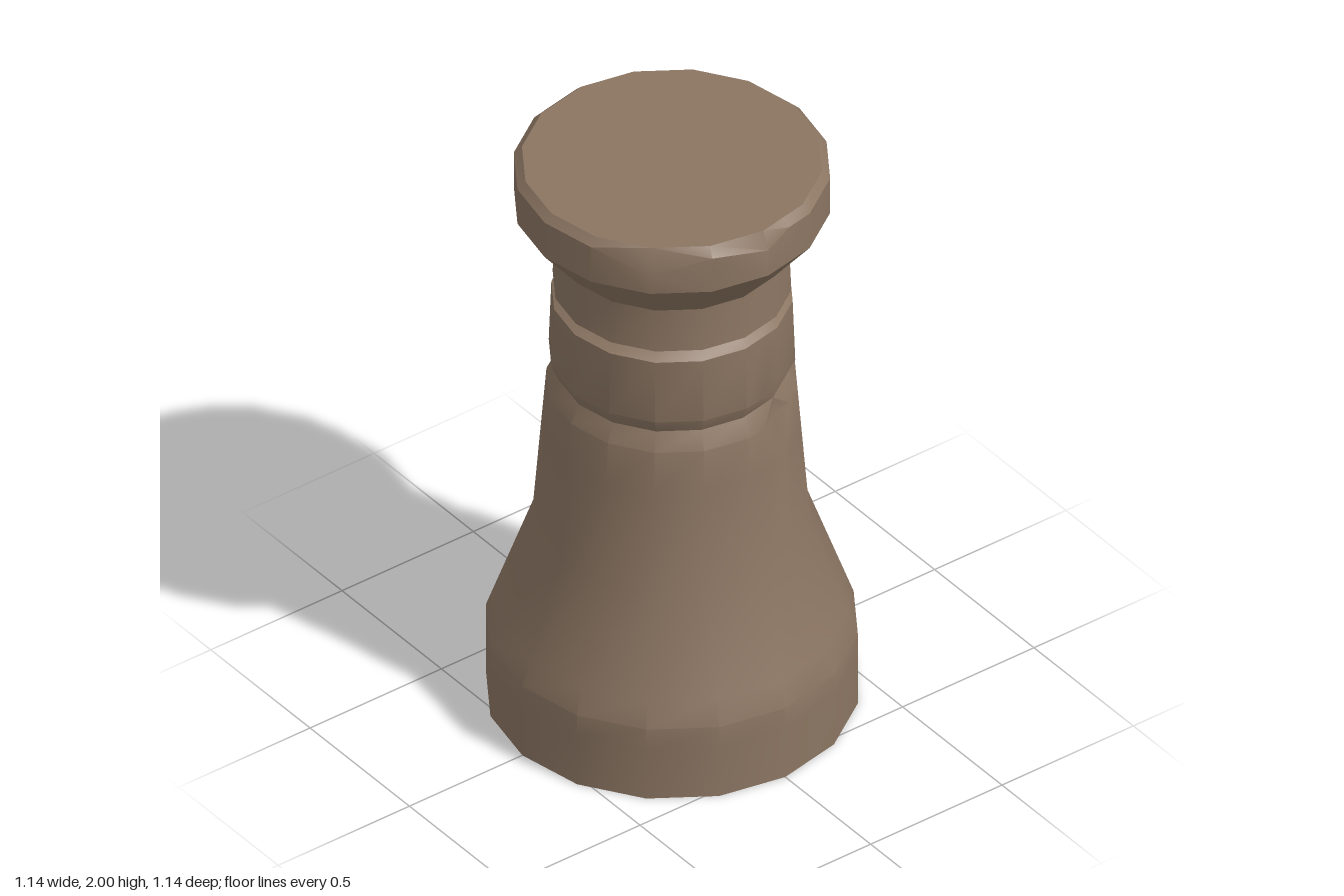
import * as THREE from 'three';
import { toCreasedNormals } from 'three/addons/utils/BufferGeometryUtils.js';

const SIDES = 16;

// Profile rows from the foot to the top: [radius, height]
const PROFILE = [
  [0.57, 0], [0.57, 0.18], [0.57, 0.26], [0.54, 0.345], [0.425, 0.67],
  [0.397, 1.02], [0.385, 1.17], [0.355, 1.23], [0.378, 1.28], [0.37, 1.5],
  [0.338, 1.52], [0.366, 1.54], [0.36, 1.69], [0.408, 1.75], [0.485, 1.845],
  [0.485, 1.975], [0.46, 2.0], [0, 2.0],
];

// Chips and dents: [column, height of row, inward push, rise]
const CHIPS = [
  [5.5, 0.26, 0.025, 0],
  [1, 1.17, 0.03, 0], [1, 1.28, 0.004, 0.035],
  [7, 1.845, 0.035, 0.02], [7, 1.975, 0.015, -0.01],
  [14, 1.975, 0, -0.065], [15, 1.975, 0, -0.005], [0, 1.975, 0, -0.035],
];

// Sixteen corner columns, plus extra ones beside the chips
const COLUMNS = [...Array(SIDES).keys(), 0.5, 1.5, 5.15, 5.5, 5.85, 6.7, 7.3]
  .sort((a, b) => a - b);

function surfacePoint(column, [radius, height]) {
  const corner = (i) => {
    const a = (i / SIDES) * Math.PI * 2;
    return new THREE.Vector3(radius * Math.sin(a), height, radius * Math.cos(a));
  };
  const low = Math.floor(column);
  const point = corner(low).lerp(corner(low + 1), column - low);
  const chip = CHIPS.find((c) => c[0] === column && c[1] === height);
  if (chip) {
    const scale = 1 - chip[2] / Math.hypot(point.x, point.z);
    point.x *= scale;
    point.z *= scale;
    point.y += chip[3];
  }
  return { point, moved: Boolean(chip) };
}

function turnedGeometry() {
  const positions = [];
  const moved = [];
  const indices = [];
  const n = COLUMNS.length;
  for (const row of PROFILE) {
    for (const column of COLUMNS) {
      const v = surfacePoint(column, row);
      positions.push(v.point.x, v.point.y, v.point.z);
      moved.push(v.moved);
    }
  }
  for (let j = 0; j < PROFILE.length - 1; j++) {
    for (let i = 0; i < n; i++) {
      const a = j * n + i, b = j * n + ((i + 1) % n);
      const c = b + n, d = a + n;
      if (PROFILE[j + 1][0] === 0) indices.push(a, b, d);
      // Turn the diagonal so that each chip becomes a diamond
      else if (moved[a] || moved[c]) indices.push(a, b, d, b, c, d);
      else indices.push(a, b, c, a, c, d);
    }
  }
  const geometry = new THREE.BufferGeometry();
  geometry.setAttribute('position', new THREE.Float32BufferAttribute(positions, 3));
  geometry.setIndex(indices);
  return toCreasedNormals(geometry, 0.5);
}

export function createModel() {
  const group = new THREE.Group();
  group.name = 'pillar';
  const stone = new THREE.MeshStandardMaterial({ color: 0x8b7562, side: THREE.DoubleSide });
  stone.name = 'brown stone';

  // Hollow turned body, open underneath
  const body = new THREE.Mesh(turnedGeometry(), stone);
  body.name = 'pillarBody';
  group.add(body);
  return group;
}
